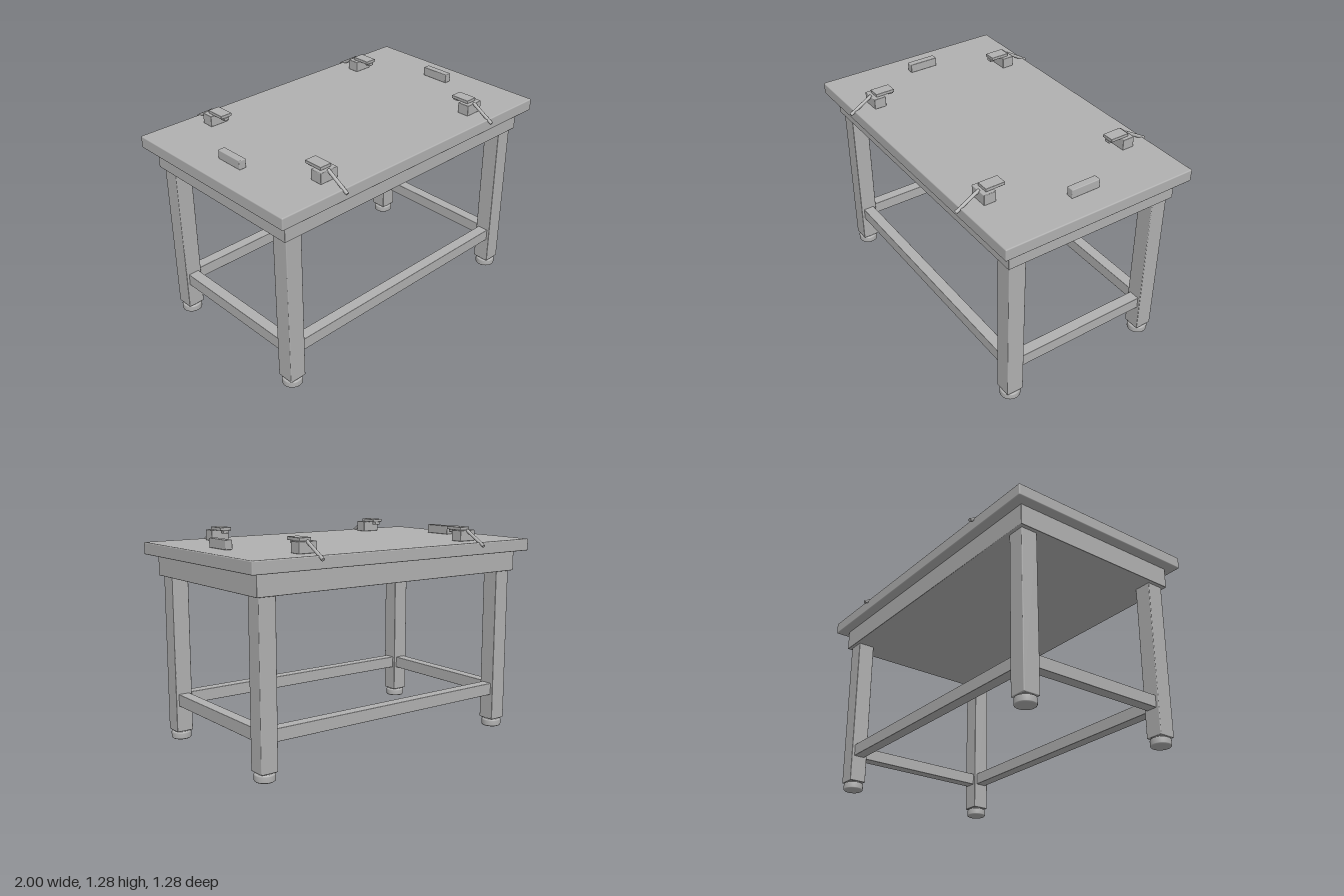
import * as THREE from 'three';
import { RoundedBoxGeometry } from 'three/addons/geometries/RoundedBoxGeometry.js';

const steel = new THREE.MeshStandardMaterial({ color: 0xb0b0b0 });
steel.name = 'plainGrey';

function add(parent, name, geometry, x = 0, y = 0, z = 0) {
  const mesh = new THREE.Mesh(geometry, steel);
  mesh.name = name;
  mesh.position.set(x, y, z);
  parent.add(mesh);
  return mesh;
}

// Softly bevelled block given by its size, bottom height and centre
function block(parent, name, [w, h, d], x, bottom, z, bevel = 0.005) {
  return add(parent, name, new RoundedBoxGeometry(w, h, d, 2, bevel), x, bottom + h / 2, z);
}

// Round levelling foot with eased rims and a short neck
function footGeometry() {
  const profile = [[0, 0], [0.054, 0], [0.059, 0.004], [0.06, 0.008], [0.06, 0.036],
    [0.058, 0.042], [0.052, 0.045], [0.046, 0.045], [0.046, 0.055]];
  return new THREE.LatheGeometry(profile.map(([r, y]) => new THREE.Vector2(r, y)), 32);
}

// Clamp facing outward along +z: body, pressing plate, pad and slanted handle
function makeClamp() {
  const clamp = new THREE.Group();
  clamp.name = 'clamp';
  block(clamp, 'clampBody', [0.118, 0.065, 0.076], 0, 1.2, 0.463, 0.004);
  block(clamp, 'clampPlate', [0.074, 0.019, 0.12], 0, 1.264, 0.416, 0.003);
  block(clamp, 'clampPad', [0.036, 0.018, 0.034], 0, 1.247, 0.372, 0.003);

  const inner = new THREE.Vector3(0, 1.265, 0.492);
  const outer = new THREE.Vector3(0, 1.18, 0.636);
  const direction = outer.clone().sub(inner);
  const handle = add(clamp, 'clampHandle',
    new THREE.CylinderGeometry(0.01, 0.01, direction.length(), 16));
  handle.position.copy(inner).add(outer).multiplyScalar(0.5);
  handle.quaternion.setFromUnitVectors(new THREE.Vector3(0, 1, 0), direction.normalize());
  return clamp;
}

export function createModel() {
  const table = new THREE.Group();
  table.name = 'workTable';

  block(table, 'tableTop', [2, 0.073, 1.226], 0, 1.127, 0, 0.007);
  block(table, 'apron', [1.876, 0.127, 1.104], 0, 1.002, 0, 0.004);

  const legX = 0.862, legZ = 0.479, legWidth = 0.106;
  const foot = footGeometry();
  for (const sx of [-1, 1]) {
    // Legs and feet
    for (const sz of [-1, 1]) {
      block(table, 'leg', [legWidth, 0.954, legWidth], sx * legX, 0.05, sz * legZ);
      add(table, 'foot', foot, sx * legX, 0, sz * legZ);
    }
    // Side stretcher and end stop
    block(table, 'sideStretcher', [0.07, 0.074, 2 * legZ - legWidth + 0.02], sx * legX, 0.212, 0, 0.003);
    block(table, 'endStop', [0.045, 0.055, 0.184], sx * 0.825, 1.2, 0);

    // Clamps along both long edges
    for (const turn of [0, Math.PI]) {
      const clamp = makeClamp();
      clamp.rotation.y = turn;
      clamp.position.x = sx * 0.585;
      table.add(clamp);
    }
  }

  // Long stretchers
  for (const sz of [-1, 1]) {
    block(table, 'longStretcher', [2 * legX - legWidth + 0.02, 0.074, 0.07], 0, 0.212, sz * legZ, 0.003);
  }
  return table;
}
